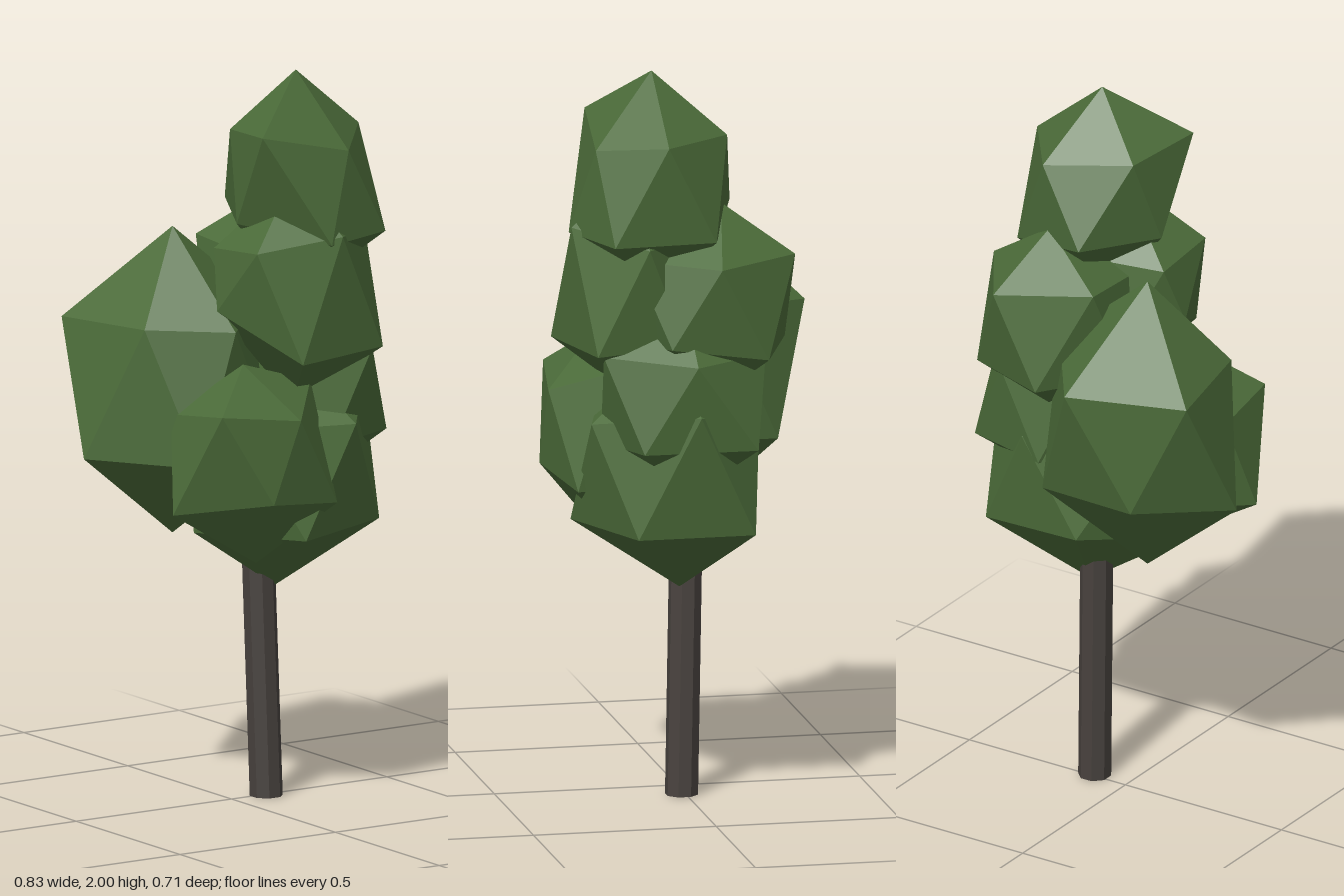
import * as THREE from 'three';

const foliageGreen = new THREE.MeshStandardMaterial({ color: 0x4b6b39, flatShading: true });
foliageGreen.name = 'foliage green';
const barkBrown = new THREE.MeshStandardMaterial({ color: 0x48423e, flatShading: true });
barkBrown.name = 'bark brown';

// Twenty-sided clump: top, upper ring u0-u4, lower ring l0-l4, bottom.
// Corners named in "moved" are pulled to their own place for an uneven shape.
function makeClump(name, centre, radii, moved) {
  const corners = { top: [0, 1, 0], bottom: [0, -1, 0] };
  for (let i = 0; i < 5; i++) {
    const a = (i * Math.PI * 2) / 5;
    const b = a + Math.PI / 5;
    corners['u' + i] = [0.894 * Math.cos(a), 0.447, 0.894 * Math.sin(a)];
    corners['l' + i] = [0.894 * Math.cos(b), -0.447, 0.894 * Math.sin(b)];
  }
  const place = (key) => moved[key] ?? corners[key].map((v, k) => centre[k] + v * radii[k]);

  const points = [];
  const face = (...keys) => keys.forEach((key) => points.push(...place(key)));
  for (let i = 0; i < 5; i++) {
    const j = (i + 1) % 5;
    face('top', 'u' + j, 'u' + i);
    face('u' + i, 'u' + j, 'l' + i);
    face('l' + i, 'u' + j, 'l' + j);
    face('bottom', 'l' + i, 'l' + j);
  }
  const geometry = new THREE.BufferGeometry();
  geometry.setAttribute('position', new THREE.Float32BufferAttribute(points, 3));
  geometry.computeVertexNormals();
  const mesh = new THREE.Mesh(geometry, foliageGreen);
  mesh.name = name;
  return mesh;
}

// Slightly leaning trunk that ends inside the leaves
function makeTrunk() {
  const height = 0.9;
  const geometry = new THREE.CylinderGeometry(0.045, 0.045, height, 8);
  geometry.rotateY(Math.PI / 8);
  geometry.translate(0, height / 2, 0);
  const position = geometry.attributes.position;
  for (let i = 0; i < position.count; i++) {
    const y = position.getY(i);
    position.setX(i, position.getX(i) - 0.024 * y);
    position.setZ(i, position.getZ(i) - 0.022 * y);
  }
  geometry.computeVertexNormals();
  const mesh = new THREE.Mesh(geometry, barkBrown);
  mesh.name = 'trunk';
  mesh.position.set(0.105, 0, 0.01);
  return mesh;
}

export function createModel() {
  const tree = new THREE.Group();
  tree.name = 'tree';
  const foliage = new THREE.Group();
  foliage.name = 'foliage';
  foliage.add(
    makeClump('crownClump', [0.14, 1.69, 0.10], [0.228, 0.31, 0.228], {
      u0: [0.345, 1.83, 0.095], u1: [0.20, 1.80, 0.265], u2: [-0.06, 1.86, 0.24],
      u3: [-0.015, 1.84, 0.015], l0: [0.335, 1.56, 0.24], l1: [0.11, 1.56, 0.32],
      l2: [-0.05, 1.60, 0.10], l3: [0.065, 1.62, -0.13], l4: [0.32, 1.56, -0.04],
    }),
    makeClump('upperFrontClump', [0.10, 1.41, 0.145], [0.26, 0.31, 0.21], {
      u1: [0.145, 1.58, 0.32], u3: [-0.09, 1.53, 0.05], l0: [0.30, 1.255, 0.28],
      l1: [0, 1.25, 0.345], l2: [-0.12, 1.37, 0.11],
    }),
    makeClump('upperBackClump', [0.178, 1.375, -0.05], [0.243, 0.285, 0.26], {
      top: [0.19, 1.64, -0.08], u0: [0.395, 1.50, -0.04], u3: [-0.005, 1.52, -0.165],
      l0: [0.365, 1.28, 0.09], l4: [0.36, 1.24, -0.175],
    }),
    makeClump('middleClump', [0.22, 1.115, 0.03], [0.22, 0.28, 0.25], {
      u1: [0.28, 1.25, 0.26], l0: [0.385, 1.00, 0.17], l4: [0.39, 1.00, -0.14],
    }),
    makeClump('lowerClump', [0.127, 0.905, 0.05], [0.315, 0.33, 0.27], {
      bottom: [0.125, 0.575, 0.02], u0: [0.41, 1.10, 0.02], l0: [0.355, 0.76, 0.18],
      l1: [0.04, 0.755, 0.30], l3: [0.04, 0.79, -0.18], l4: [0.355, 0.76, -0.14],
    }),
    makeClump('rightBackClump', [-0.13, 1.15, -0.09], [0.315, 0.42, 0.315], {
      u1: [-0.10, 1.32, 0.17], u2: [-0.31, 1.33, 0.045], u3: [-0.37, 1.32, -0.265],
      u4: [-0.04, 1.31, -0.358], l2: [-0.415, 0.965, -0.09], l3: [-0.22, 0.99, -0.31],
    }),
    makeClump('rightFrontClump', [-0.085, 0.975, 0.195], [0.24, 0.285, 0.19], {
      top: [-0.10, 1.24, 0.205], bottom: [-0.055, 0.69, 0.20], u0: [0.12, 1.17, 0.20],
      u1: [-0.01, 1.10, 0.35], u2: [-0.24, 1.13, 0.315], l0: [0.14, 0.85, 0.30],
      l1: [-0.10, 0.88, 0.355], l2: [-0.305, 0.845, 0.175],
    }),
  );
  tree.add(makeTrunk(), foliage);
  return tree;
}
